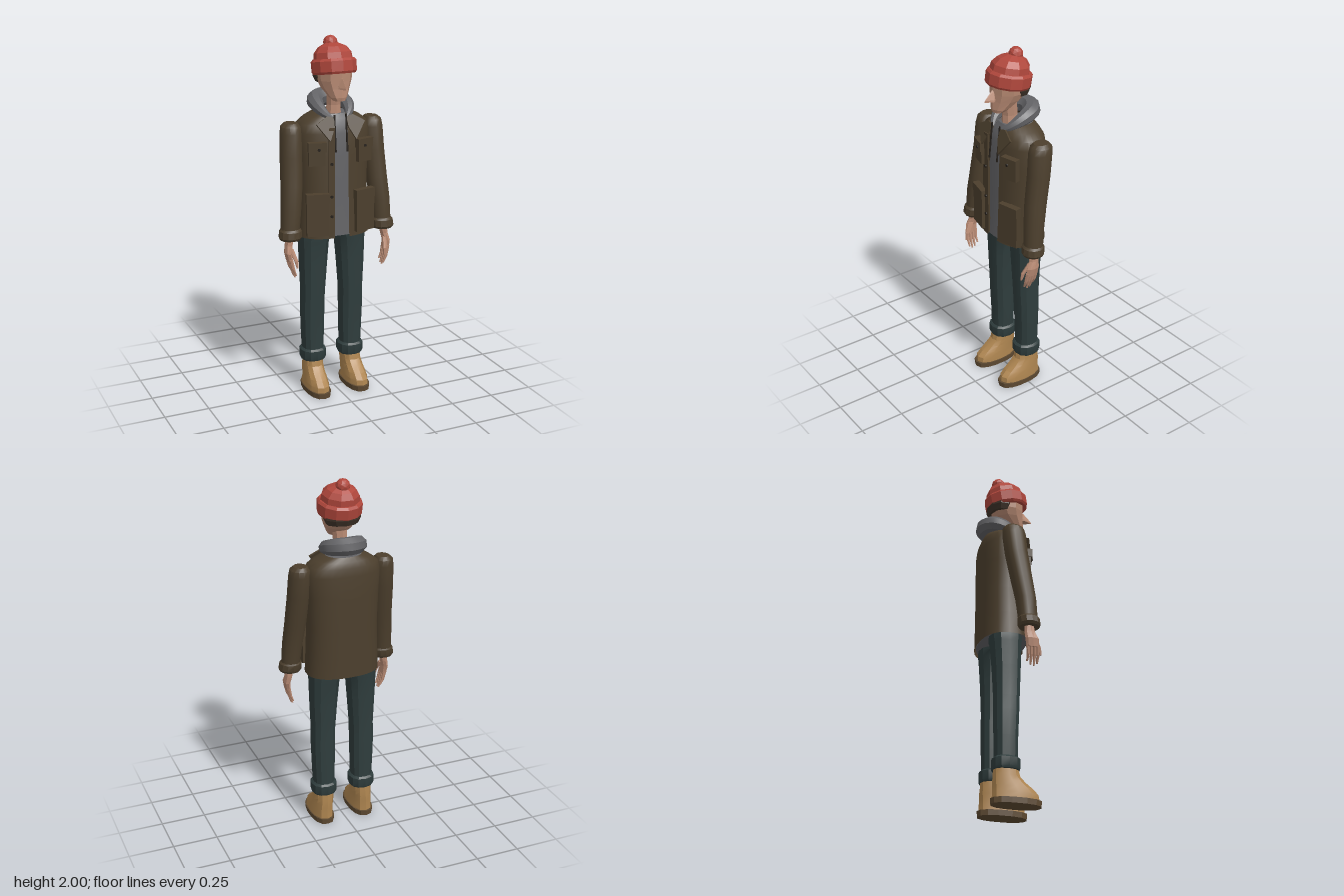
import * as THREE from 'three';
import { toCreasedNormals } from 'three/addons/utils/BufferGeometryUtils.js';

const mat = (name, color, side = THREE.FrontSide) => {
  const m = new THREE.MeshStandardMaterial({ color, side });
  m.name = name;
  return m;
};

// Skin over horizontal rings [y, x, z, rx, rz], listed upwards.
// p squares the section off, gap leaves a slit of that half width at the front.
function loft(rings, n, { p = 2, gap = 0, crease = 0 } = {}) {
  const pos = [], idx = [], cols = gap ? n + 1 : n;
  const pw = v => Math.sign(v) * Math.abs(v) ** (2 / p);
  for (const [y, cx, cz, rx, rz] of rings) {
    const t0 = gap ? Math.asin((gap / rx) ** (p / 2)) : 0;
    for (let j = 0; j < cols; j++) {
      const t = t0 + (j / n) * (Math.PI * 2 - 2 * t0);
      pos.push(cx + rx * pw(Math.sin(t)), y, cz + rz * pw(Math.cos(t)));
    }
  }
  for (let i = 0; i < rings.length - 1; i++) for (let j = 0; j < n; j++) {
    const k = (j + 1) % cols, a = i * cols + j, b = i * cols + k;
    idx.push(a, b, b + cols, a, b + cols, a + cols);
  }
  if (!gap) {
    const last = (rings.length - 1) * cols, c = pos.length / 3;
    for (const r of [rings[0], rings[rings.length - 1]]) pos.push(r[1], r[0], r[2]);
    for (let j = 0; j < n; j++) {
      const k = (j + 1) % n;
      idx.push(c, k, j, c + 1, last + j, last + k);
    }
  }
  const g = new THREE.BufferGeometry();
  g.setAttribute('position', new THREE.Float32BufferAttribute(pos, 3));
  g.setIndex(idx);
  return toCreasedNormals(g, crease);
}

export function createModel() {
  const root = new THREE.Group();
  root.name = 'standingMan';
  const M = {
    jacket: mat('jacketBrown', 0x4c3f2d, THREE.DoubleSide),
    grey: mat('hoodieGrey', 0x636366),
    trousers: mat('trouserTeal', 0x2f3d3d),
    boot: mat('bootTan', 0xae8550),
    sole: mat('soleBrown', 0x5e4a32),
    skin: mat('skin', 0xb98b74),
    hat: mat('hatRed', 0xb0473c),
    hair: mat('hairBrown', 0x40342a),
    button: mat('buttonDark', 0x241f1a),
  };
  const add = (name, geo, material, parent = root) => {
    const m = new THREE.Mesh(geo, material);
    m.name = name;
    parent.add(m);
    return m;
  };
  const box = (name, w, h, d, x, y, z, ry, material) => {
    const m = add(name, new THREE.BoxGeometry(w, h, d), material);
    m.position.set(x, y, z);
    m.rotation.y = ry;
    return m;
  };

  // Open jacket body over a hoodie
  const body = [
    [0.925, 0, -0.018, 0.205, 0.137], [1.05, 0, -0.02, 0.2, 0.133], [1.2, 0, -0.022, 0.195, 0.13],
    [1.38, 0, -0.024, 0.202, 0.127], [1.5, 0, -0.026, 0.208, 0.122], [1.545, 0, -0.028, 0.196, 0.115],
    [1.575, 0, -0.03, 0.155, 0.103], [1.6, 0, -0.03, 0.1, 0.09],
  ];
  add('jacketBody', loft(body, 28, { p: 2.4, gap: 0.043, crease: 0.7 }), M.jacket);
  const inner = body.map(([y, x, z, rx, rz]) => [y + (y < 1 ? 0.01 : -0.004), x, z, rx - 0.012, rz - 0.008]);
  add('hoodieBody', loft(inner, 24, { p: 2.4, crease: 0.7 }), M.grey);

  // Placket with buttons
  box('placket', 0.034, 0.6, 0.012, -0.058, 1.235, 0.109, -0.05, M.jacket);
  for (const y of [1.34, 1.16, 1.05]) {
    const b = add('frontButton', new THREE.CylinderGeometry(0.008, 0.008, 0.008, 8).rotateX(Math.PI / 2), M.button);
    b.position.set(-0.06, y, 0.118);
  }

  // Hood: a thick rolled tube that tapers towards the front
  const path = new THREE.CatmullRomCurve3([
    [-0.035, 1.575, 0.085], [-0.07, 1.6, 0.05], [-0.087, 1.635, -0.02], [-0.065, 1.655, -0.09], [0, 1.66, -0.118],
    [0.065, 1.655, -0.09], [0.087, 1.635, -0.02], [0.07, 1.6, 0.05], [0.035, 1.575, 0.085],
  ].map(v => new THREE.Vector3(...v)));
  const seg = 20, sides = 8;
  const hood = new THREE.TubeGeometry(path, seg, 1, sides);
  const hp = hood.attributes.position, v = new THREE.Vector3();
  for (let i = 0; i < hp.count; i++) {
    const u = Math.floor(i / (sides + 1)) / seg, c = path.getPointAt(u);
    v.fromBufferAttribute(hp, i).sub(c).multiplyScalar(0.006 + 0.044 * Math.sin(Math.PI * u) ** 0.8).add(c);
    hp.setXYZ(i, v.x, v.y, v.z);
  }
  add('hood', toCreasedNormals(hood, 0.5), M.grey);

  // Head, neck, nose and hair
  add('neck', loft([[1.56, 0, 0, 0.046, 0.048], [1.64, 0, 0.002, 0.038, 0.042], [1.73, 0, 0.01, 0.042, 0.048]], 8), M.skin);
  add('head', loft([
    [1.672, 0, 0.077, 0.034, 0.03], [1.69, 0, 0.06, 0.05, 0.052], [1.735, 0, 0.025, 0.076, 0.085],
    [1.775, 0, 0.01, 0.093, 0.1], [1.83, 0, 0.008, 0.1, 0.103], [1.88, 0, 0.005, 0.095, 0.1],
  ], 10), M.skin);
  add('nose', loft([[1.738, 0, 0.115, 0.021, 0.046], [1.748, 0, 0.113, 0.02, 0.046], [1.795, 0, 0.103, 0.007, 0.012]], 4), M.skin);
  add('hair', loft([[1.76, 0, -0.028, 0.088, 0.063], [1.79, 0, -0.028, 0.102, 0.078], [1.84, 0, -0.026, 0.104, 0.082]], 10), M.hair);

  // Knitted hat, tipped back
  const hat = new THREE.Group();
  hat.name = 'hat';
  hat.position.set(0, 1.845, 0.008);
  hat.rotation.x = -0.17;
  root.add(hat);
  add('hatBrim', loft([
    [-0.042, 0, 0, 0.112, 0.114], [-0.03, 0, 0, 0.12, 0.122], [0.025, 0, 0, 0.121, 0.123], [0.038, 0, 0, 0.11, 0.112],
  ], 12), M.hat, hat);
  add('hatCrown', loft([
    [0.03, 0, 0, 0.106, 0.108], [0.07, 0, -0.002, 0.101, 0.102], [0.1, 0, -0.006, 0.076, 0.078], [0.12, 0, -0.012, 0.035, 0.036],
  ], 9), M.hat, hat);
  const pom = add('hatPompom', new THREE.IcosahedronGeometry(0.039, 1), M.hat);
  pom.geometry = toCreasedNormals(pom.geometry, 0);
  pom.position.set(0, 1.962, -0.037);

  for (const s of [1, -1]) {
    const side = s > 0 ? 'left' : 'right';
    const part = (name, rings, n, material, opt) =>
      add(side + name, loft(rings.map(([y, x, ...r]) => [y, s * x, ...r]), n, opt), material);

    // Sleeve and turned cuff
    part('Sleeve', [
      [0.97, 0.274, 0.045, 0.052, 0.052], [1.1, 0.264, 0.036, 0.057, 0.056], [1.22, 0.252, 0.018, 0.06, 0.06],
      [1.38, 0.243, -0.008, 0.061, 0.064], [1.5, 0.238, -0.02, 0.06, 0.066], [1.535, 0.238, -0.024, 0.054, 0.06],
      [1.553, 0.236, -0.026, 0.036, 0.042],
    ], 14, M.jacket, { crease: 0.7 });
    part('SleeveCuff', [
      [0.932, 0.276, 0.05, 0.056, 0.054], [0.945, 0.276, 0.05, 0.064, 0.061],
      [0.98, 0.273, 0.047, 0.062, 0.06], [0.992, 0.272, 0.045, 0.052, 0.052],
    ], 12, M.jacket, { crease: 0.5 });

    // Hand: palm, four fingers and a thumb
    part('Palm', [
      [0.815, 0.288, 0.065, 0.015, 0.036], [0.86, 0.294, 0.06, 0.018, 0.038], [0.9, 0.286, 0.05, 0.02, 0.03], [0.95, 0.278, 0.048, 0.024, 0.026],
    ], 8, M.skin);
    for (let k = 0; k < 4; k++) {
      const z = 0.037 + k * 0.018, tip = [0.745, 0.726, 0.722, 0.735][k];
      part('Finger', [
        [tip, 0.262, z + 0.004, 0.005, 0.005], [0.775, 0.278, z + 0.005, 0.009, 0.009], [0.83, 0.29, z + 0.001, 0.011, 0.011],
      ], 6, M.skin);
    }
    part('Thumb', [
      [0.785, 0.262, 0.116, 0.005, 0.006], [0.825, 0.266, 0.106, 0.011, 0.012], [0.88, 0.28, 0.07, 0.014, 0.018],
    ], 6, M.skin);

    // Trouser leg with a rolled hem
    part('TrouserLeg', [
      [0.2, 0.115, -0.03, 0.058, 0.062], [0.36, 0.116, -0.03, 0.064, 0.064], [0.5, 0.117, -0.028, 0.067, 0.068],
      [0.58, 0.115, -0.026, 0.066, 0.07], [0.75, 0.112, -0.026, 0.076, 0.077], [0.89, 0.108, -0.028, 0.084, 0.085],
      [0.92, 0.1, -0.028, 0.094, 0.09], [1.0, 0.1, -0.028, 0.085, 0.09],
    ], 12, M.trousers, { p: 2.3, crease: 0.5 });
    part('TrouserHem', [
      [0.182, 0.115, -0.03, 0.068, 0.071], [0.195, 0.115, -0.03, 0.073, 0.076],
      [0.24, 0.115, -0.03, 0.073, 0.076], [0.25, 0.115, -0.03, 0.062, 0.066],
    ], 12, M.trousers, { p: 2.3, crease: 0.4 });

    // Boot and sole
    part('Boot', [
      [0.025, 0.12, 0.022, 0.061, 0.128], [0.06, 0.12, 0.021, 0.06, 0.125], [0.09, 0.119, 0.006, 0.057, 0.109],
      [0.12, 0.118, -0.014, 0.055, 0.089], [0.15, 0.116, -0.027, 0.054, 0.073], [0.2, 0.115, -0.031, 0.053, 0.066],
    ], 12, M.boot, { p: 2.3, crease: 0.5 });
    part('BootSole', [[0, 0.12, 0.023, 0.064, 0.136], [0.03, 0.12, 0.023, 0.066, 0.138]], 14, M.sole, { p: 2.4 });

    // Pockets with flaps
    box(side + 'ChestPocket', 0.088, 0.11, 0.03, s * 0.137, 1.39, 0.093, s * 0.25, M.jacket);
    box(side + 'ChestFlap', 0.098, 0.05, 0.036, s * 0.137, 1.437, 0.098, s * 0.25, M.jacket);
    const b = add(side + 'PocketButton', new THREE.CylinderGeometry(0.008, 0.008, 0.008, 8).rotateX(Math.PI / 2), M.button);
    b.position.set(s * 0.134, 1.425, 0.118);
    box(side + 'LowerPocket', 0.12, 0.225, 0.034, s * 0.137, 1.06, 0.1, s * 0.22, M.jacket);
    box(side + 'LowerFlap', 0.126, 0.05, 0.038, s * 0.137, 1.157, 0.102, s * 0.22, M.jacket);

    // Pointed collar, leaning out from the chest
    const shape = new THREE.Shape([[0.035, 0.125], [0.075, 0.135], [0.14, 0.095], [0.075, 0], [0.04, 0.07]]
      .map(([x, y]) => new THREE.Vector2(s * x, y)));
    const collar = add(side + 'Collar', new THREE.ExtrudeGeometry(shape, { depth: 0.01, bevelEnabled: false }), M.jacket);
    collar.position.set(0, 1.465, 0.125);
    collar.rotation.x = -0.36;

    // Hood cord
    const cord = add(side + 'HoodCord', new THREE.CylinderGeometry(0.005, 0.005, 0.2, 6), M.button);
    cord.position.set(s * 0.034, 1.5, 0.1);
    cord.rotation.x = -0.1;
  }
  return root;
}
